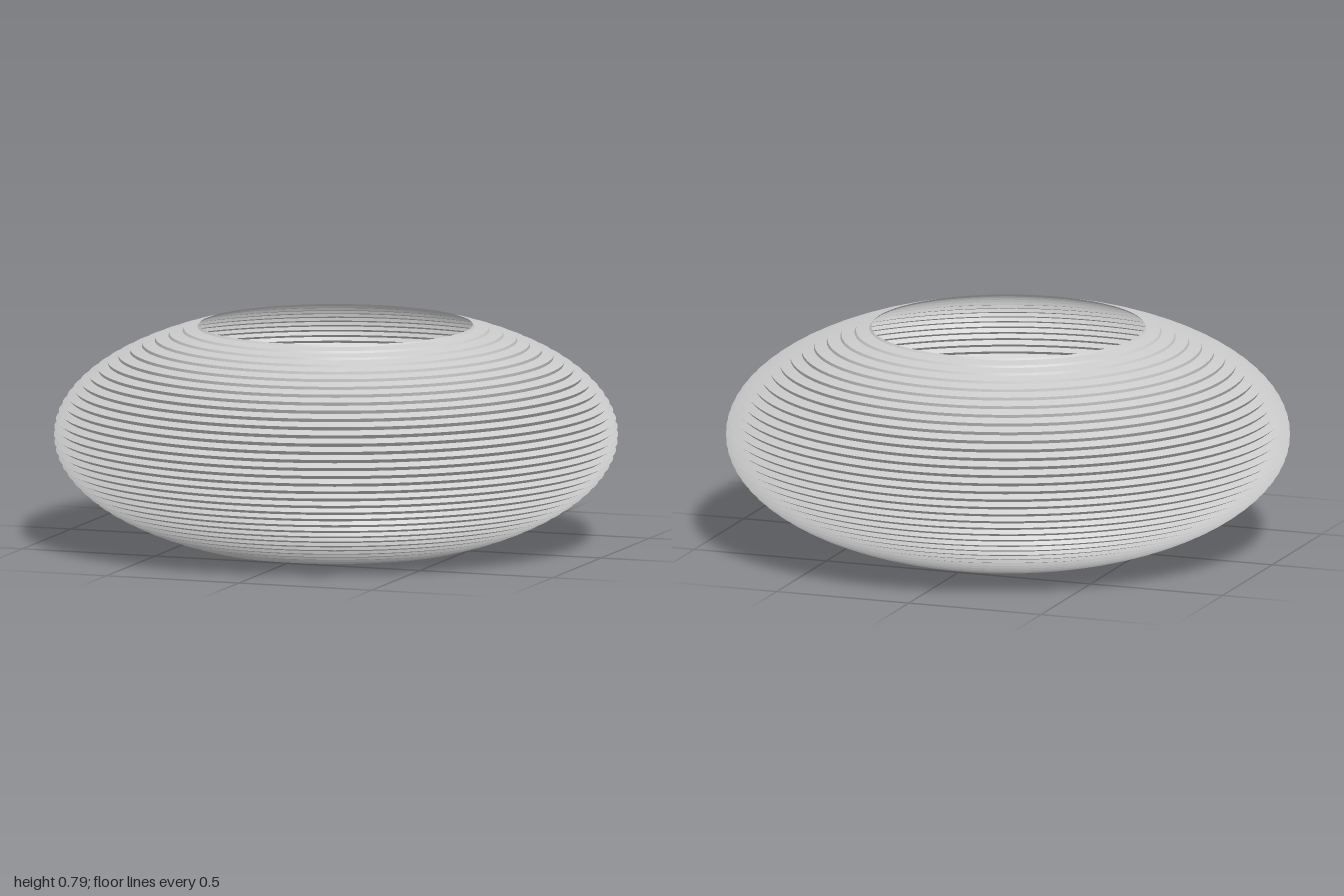
import * as THREE from 'three';
import { toCreasedNormals } from 'three/addons/utils/BufferGeometryUtils.js';

const PLEATS = 34;
const END_ANGLE = THREE.MathUtils.degToRad(61);
const HALF_HEIGHT = 0.3925;
const PLEAT_DEPTH = 0.021;

// Zigzag profile following a flattened ellipse that is cut off at both openings
function pleatedProfile() {
  const semiAxis = HALF_HEIGHT / Math.sin(END_ANGLE);
  const points = [];
  for (let i = 0; i <= PLEATS * 2; i++) {
    const t = END_ANGLE * (i / PLEATS - 1);
    const inset = i % 2 ? PLEAT_DEPTH : 0;
    points.push(new THREE.Vector2(Math.cos(t) - inset, HALF_HEIGHT + semiAxis * Math.sin(t)));
  }
  return points;
}

export function createModel() {
  const group = new THREE.Group();
  group.name = 'pleatedLampshade';

  const paper = new THREE.MeshStandardMaterial({ color: 0xcccccc, side: THREE.DoubleSide });
  paper.name = 'light grey paper';

  // Thin shell, open at top and bottom, with sharp folds and a smooth round
  const geometry = toCreasedNormals(new THREE.LatheGeometry(pleatedProfile(), 128), Math.PI / 7);
  const shade = new THREE.Mesh(geometry, paper);
  shade.name = 'pleatedShade';
  group.add(shade);

  return group;
}
